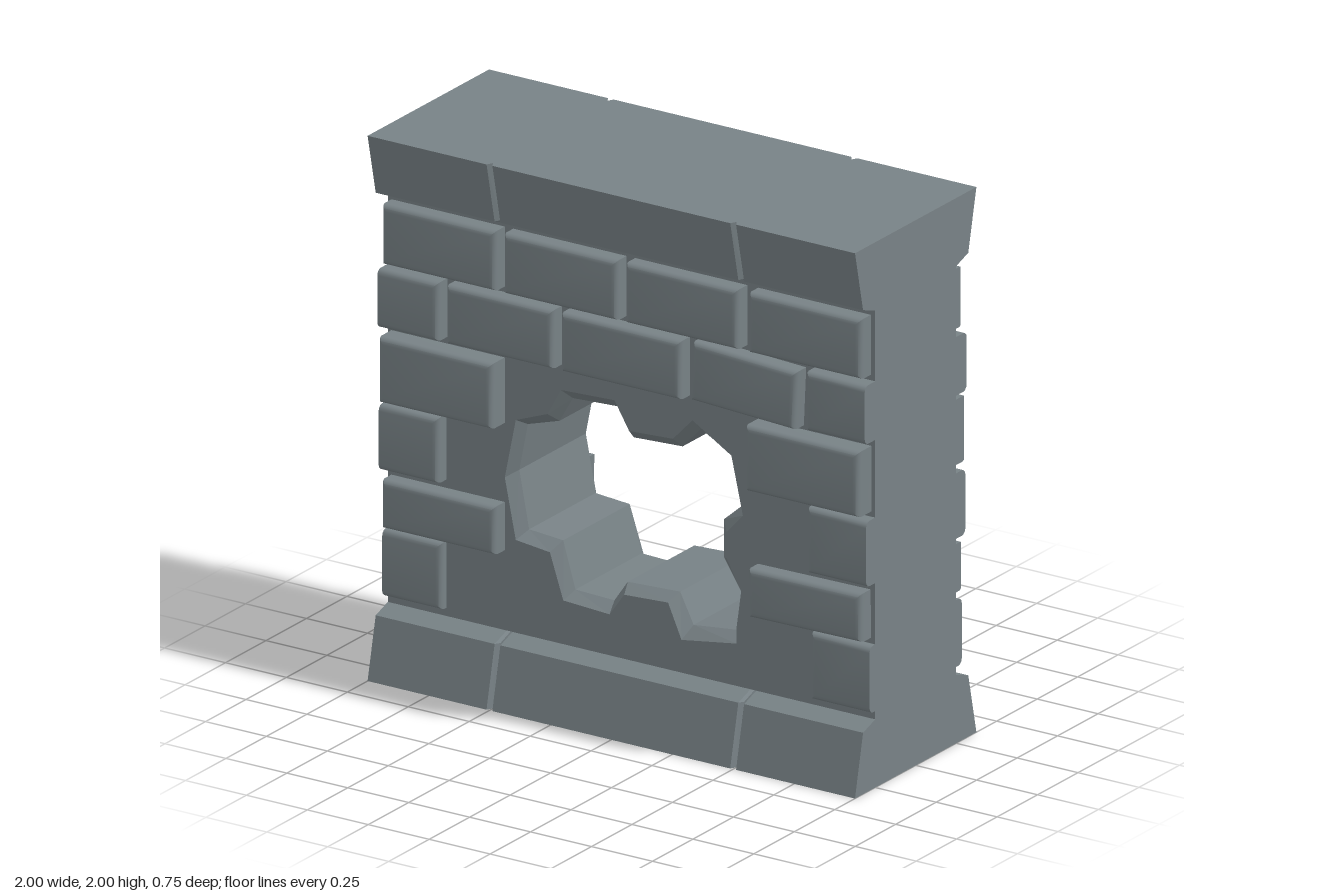
import * as THREE from 'three';
import { toCreasedNormals } from 'three/addons/utils/BufferGeometryUtils.js';

const stone = new THREE.MeshStandardMaterial({ color: 0x788286 });

// Broken opening: rim on the wall face, and the narrower throat behind its chamfer
const RIM = [
  [-.475, .59], [-.335, .575], [-.28, .41], [-.09, .40], [-.03, .485], [.15, .495], [.205, .37],
  [.43, .405], [.45, .60], [.39, .71], [.39, .805], [.457, .88], [.41, 1.09], [.25, 1.185],
  [.17, 1.10], [-.01, 1.09], [-.07, 1.19], [-.29, 1.18], [-.345, 1.08], [-.475, 1.03], [-.52, .81],
];
const THROAT = [
  [-.45, .62], [-.31, .61], [-.26, .44], [-.10, .435], [-.045, .515], [.17, .525], [.225, .415],
  [.40, .435], [.42, .58], [.35, .69], [.35, .83], [.43, .90], [.405, 1.06], [.255, 1.14],
  [.18, 1.06], [-.02, 1.05], [-.08, 1.15], [-.27, 1.14], [-.325, 1.045], [-.455, 1.005], [-.49, .83],
];

const points = (list) => list.map(([x, y]) => new THREE.Vector2(x, y));

function mesh(name, geometry) {
  const m = new THREE.Mesh(geometry, stone);
  m.name = name;
  return m;
}

// Move every vertex of a geometry by a rule
function reshape(geometry, rule) {
  const p = geometry.attributes.position;
  for (let i = 0; i < p.count; i++) p.setXYZ(i, ...rule(p.getX(i), p.getY(i), p.getZ(i)));
  geometry.computeVertexNormals();
  return geometry;
}

// Wall slab, with the opening chamfered on both faces
function wallGeometry() {
  const shape = new THREE.Shape(points([[-1, .25], [1, .25], [1, 1.75], [-1, 1.75]]));
  shape.holes.push(new THREE.Path(points(RIM)));
  const layers = [-.25, -.205, .205, .25];
  const g = new THREE.ExtrudeGeometry(shape, { depth: 3, steps: 3, bevelEnabled: false });
  return reshape(g, (x, y, z) => {
    const layer = Math.round(z);
    const i = RIM.findIndex(([a, b]) => Math.hypot(a - x, b - y) < 1e-4);
    const [px, py] = i >= 0 && (layer === 1 || layer === 2) ? THROAT[i] : [x, y];
    return [px, py, layers[layer]];
  });
}

// Flared course of three blocks, separated by V grooves
function courseGeometry() {
  const edge = [[-1, 1], [-.512, 1], [-.5, .94], [-.488, 1], [.488, 1], [.5, .94], [.512, 1], [1, 1]];
  const back = edge.map(([x, z]) => [-x, -z]);
  const heights = [0, .225, .25];
  const halfDepths = [.375, .325, .25];
  const g = new THREE.ExtrudeGeometry(new THREE.Shape(points([...edge, ...back])),
    { depth: 2, steps: 2, bevelEnabled: false });
  return reshape(g, (x, y, z) => {
    const layer = Math.round(z);
    return [x, heights[layer], -y * halfDepths[layer]];
  });
}

// Rounded brick set into the wall; ends at x = +-1 are cut flush
function brick(x0, x1, y0, y1, front, tilt = 0) {
  const b = .022, base = .16;
  const cx = (x0 + x1) / 2, cy = (y0 + y1) / 2;
  const left = x0 <= -1 ? -1 : x0 + b;
  const right = x1 >= 1 ? 1 : x1 - b;
  const shape = new THREE.Shape(points([[left, y0 + b], [right, y0 + b], [right, y1 - b], [left, y1 - b]]));
  const g = new THREE.ExtrudeGeometry(shape, {
    depth: front - base - 2 * b, bevelSize: b, bevelThickness: b, bevelSegments: 3,
  });
  reshape(g, (x, y, z) => {
    const dx = x - cx, dy = y - cy;
    return [THREE.MathUtils.clamp(x - dy * tilt, -1, 1), cy + dy + dx * tilt, z + base + b];
  });
  return mesh('brick', toCreasedNormals(g, .6));
}

// Rows from top to bottom: y range, face depth, then x ranges with optional tilt
const ROWS = [
  [1.51, 1.73, .315, [[-.985, -.52], [-.485, -.02], [.015, .475], [.52, .982]]],
  [1.275, 1.49, .315, [[-1, -.755], [-.72, -.285], [-.25, .24], [.285, .712, -.045], [.755, 1]]],
  [1.01, 1.25, .336, [[-.985, -.52], [.52, .985]]],
  [.75, .99, .307, [[-1, -.76], [.755, 1]]],
  [.543, .72, .317, [[-.985, -.52], [.52, .982, .012]]],
  [.28, .525, .285, [[-1, -.76], [.755, 1]]],
];

function brickFace(name) {
  const face = new THREE.Group();
  face.name = name;
  for (const [y0, y1, front, spans] of ROWS)
    for (const [x0, x1, tilt] of spans) face.add(brick(x0, x1, y0, y1, front, tilt));
  return face;
}

export function createModel() {
  const model = new THREE.Group();
  model.name = 'brokenBrickWall';
  model.add(mesh('wallSlab', wallGeometry()));

  // Base course, and the same turned over as the coping
  const base = mesh('baseCourse', courseGeometry());
  const coping = mesh('copingCourse', courseGeometry());
  coping.rotation.x = Math.PI;
  coping.position.y = 2;
  model.add(base, coping);

  // Both faces carry the same brickwork
  const front = brickFace('frontBricks');
  const back = brickFace('backBricks');
  back.rotation.y = Math.PI;
  model.add(front, back);
  return model;
}
